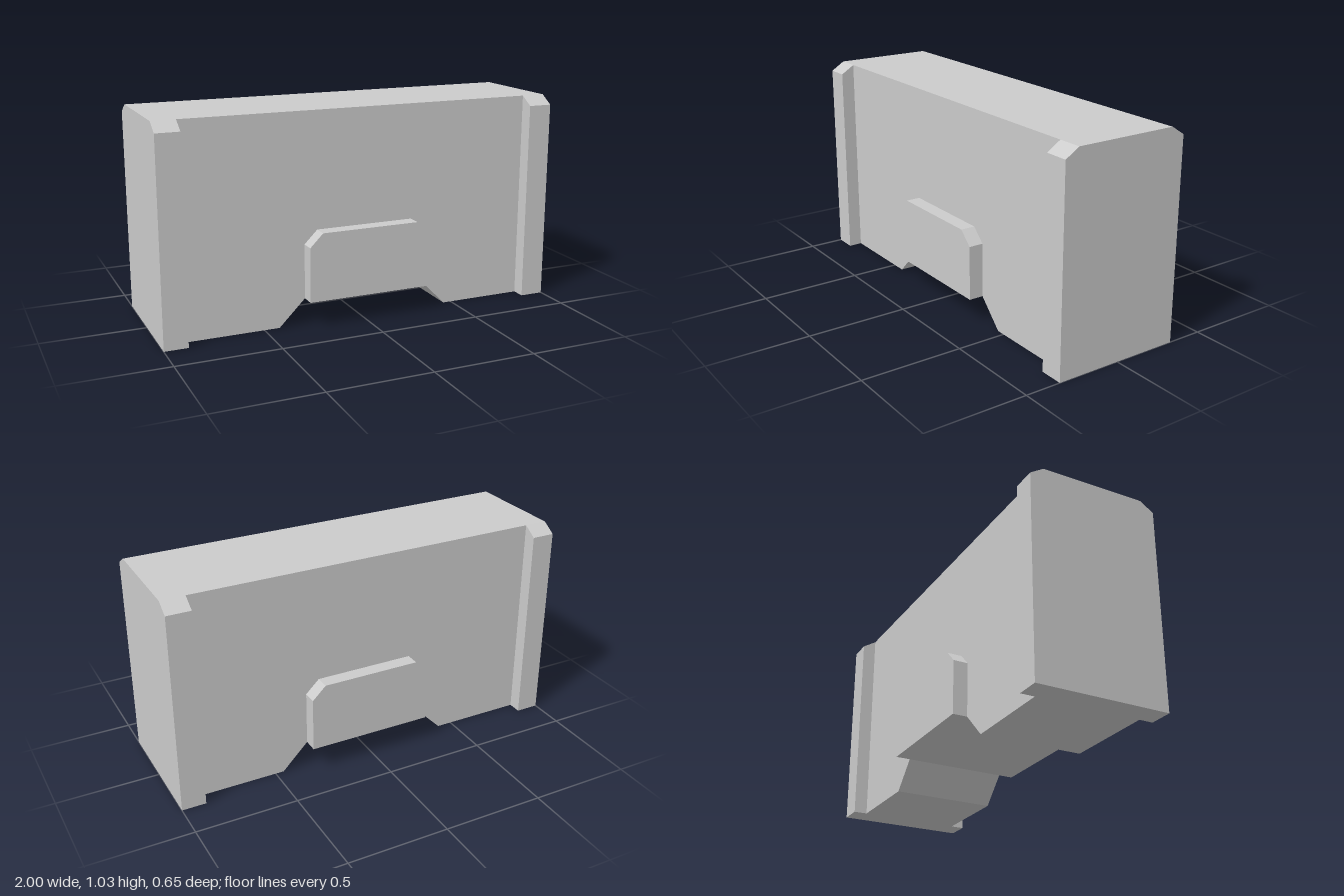
import * as THREE from 'three';

const material = new THREE.MeshStandardMaterial({ color: 0xcccccc, flatShading: true });
const HEIGHT = 1.03;
const WALL = 0.255; // half depth of the wall
const POST = 0.323; // half depth of the end posts
const PANEL = 0.327; // half depth over the raised panels

// Extrude a 2D outline along z, starting at z = start
function slab(name, points, start, depth) {
  const shape = new THREE.Shape(points.map(([x, y]) => new THREE.Vector2(x, y)));
  const geometry = new THREE.ExtrudeGeometry(shape, { depth, bevelEnabled: false });
  geometry.translate(0, 0, start);
  const mesh = new THREE.Mesh(geometry, material);
  mesh.name = name;
  return mesh;
}

export function createModel() {
  const model = new THREE.Group();
  model.name = 'wallBlock';

  // Wall between the posts, with a sloped notch cut from its underside
  model.add(slab('wall', [
    [-0.885, 0], [-0.425, 0], [-0.295, 0.13], [0.33, 0.13], [0.458, 0],
    [0.882, 0], [0.882, HEIGHT], [-0.885, HEIGHT],
  ], -WALL, 2 * WALL));

  // End posts, chamfered at the top towards front and back
  const postOutline = [
    [-POST, 0], [POST, 0], [POST, 0.987], [WALL, HEIGHT], [-WALL, HEIGHT], [-POST, 0.987],
  ];
  for (const [name, inner, outer] of [['rightPost', -1, -0.885], ['leftPost', 0.882, 1]]) {
    const post = slab(name, postOutline, 0, outer - inner);
    post.geometry.rotateY(Math.PI / 2);
    post.geometry.translate(inner, 0, 0);
    model.add(post);
  }

  // Raised panels above the notch, with clipped upper corners
  const panelOutline = [
    [-0.295, 0.13], [0.33, 0.13], [0.33, 0.397], [0.263, 0.462], [-0.23, 0.462], [-0.295, 0.397],
  ];
  model.add(slab('frontPanel', panelOutline, WALL, PANEL - WALL));
  model.add(slab('backPanel', panelOutline, -PANEL, PANEL - WALL));

  return model;
}
